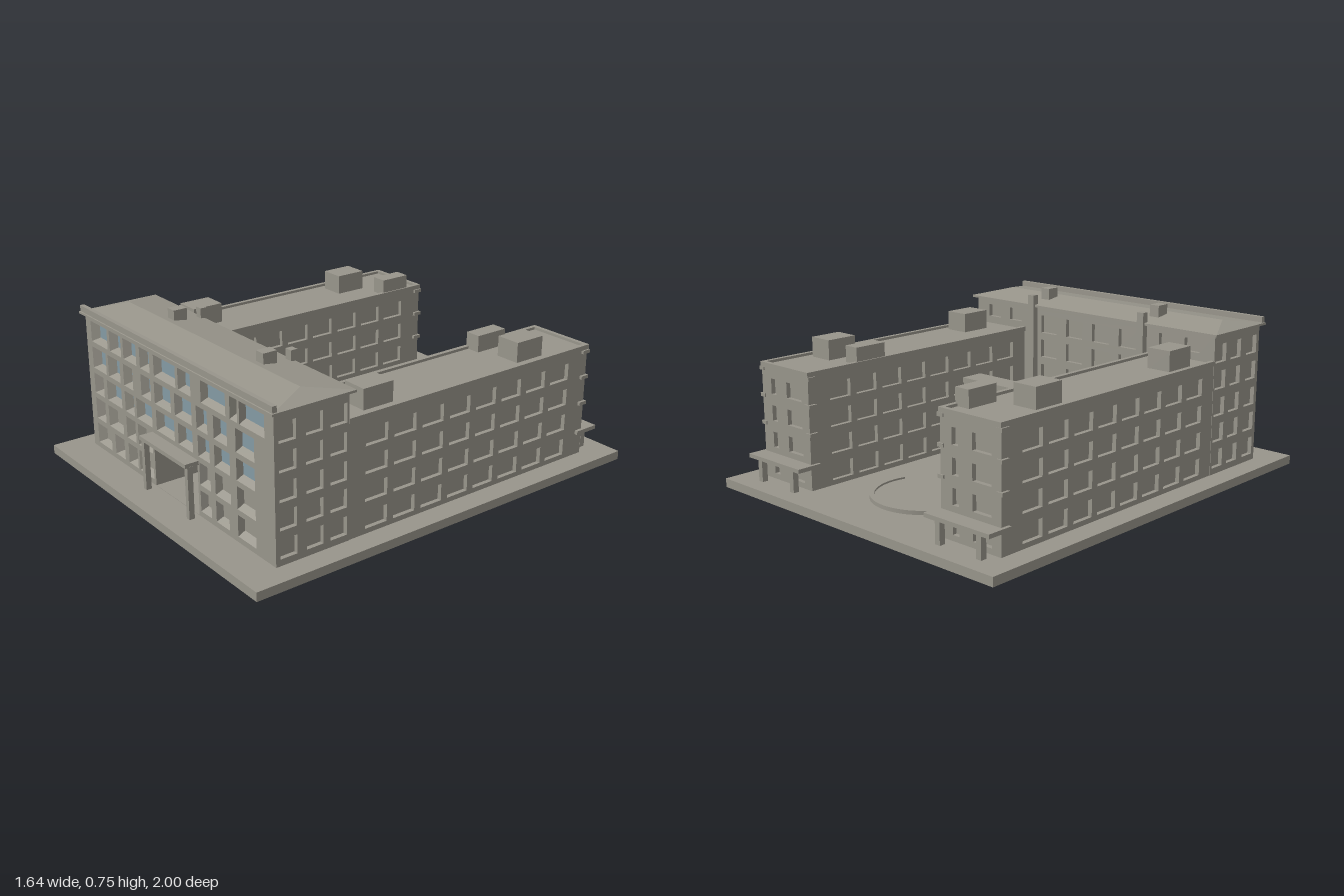
import * as THREE from 'three';
import { toCreasedNormals } from 'three/addons/utils/BufferGeometryUtils.js';

export function createModel() {
  const model = new THREE.Group();
  const concrete = new THREE.MeshStandardMaterial({ color: 0x98958b });
  concrete.name = 'concrete';
  const glass = new THREE.MeshStandardMaterial({ color: 0x849aa4 });
  glass.name = 'glass';

  const add = (name, geometry, material = concrete, parent = model) => {
    const mesh = new THREE.Mesh(geometry, material);
    mesh.name = name;
    parent.add(mesh);
    return mesh;
  };
  // Box given by its extents
  const box = (name, x0, x1, y0, y1, z0, z1) => {
    const g = new THREE.BoxGeometry(x1 - x0, y1 - y0, z1 - z0);
    g.translate((x0 + x1) / 2, (y0 + y1) / 2, (z0 + z1) / 2);
    return add(name, g);
  };
  // Flat-shaded geometry from quads, corners counter-clockwise
  const quads = (list) => {
    const pos = [];
    for (const [a, b, c, d] of list) pos.push(...a, ...b, ...c, ...a, ...c, ...d);
    const g = new THREE.BufferGeometry();
    g.setAttribute('position', new THREE.Float32BufferAttribute(pos, 3));
    g.computeVertexNormals();
    return g;
  };
  const corners = (u0, u1, v0, v1, z) => [[u0, v0, z], [u1, v0, z], [u1, v1, z], [u0, v1, z]];

  // Wall in local xy facing +z, with recessed windows
  const facade = (name, [u0, u1, v0, v1], holes, pos, rotY) => {
    const group = new THREE.Group();
    group.name = name;
    const shape = new THREE.Shape(corners(u0, u1, v0, v1, 0).map((p) => new THREE.Vector2(p[0], p[1])));
    const reveals = [], panes = [], glazed = [];
    for (const h of holes) {
      const outer = corners(h.u0, h.u1, h.v0, h.v1, 0);
      shape.holes.push(new THREE.Path(outer.map((p) => new THREE.Vector2(p[0], p[1])).reverse()));
      const [l, r, b, t] = h.inset || [0, 0, 0, 0];
      const inner = corners(h.u0 + l, h.u1 - r, h.v0 + b, h.v1 - t, -(h.depth ?? 0.02));
      if (h.depth !== 0) {
        for (let k = 0; k < 4; k++) {
          const n = (k + 1) % 4;
          reveals.push([outer[k], outer[n], inner[n], inner[k]]);
        }
      }
      if (!h.open) (h.glazed ? glazed : panes).push(inner);
    }
    add('wall', new THREE.ShapeGeometry(shape), concrete, group);
    if (reveals.length) add('windowReveals', quads(reveals), concrete, group);
    if (panes.length) add('windowPanes', quads(panes), concrete, group);
    if (glazed.length) add('windowGlass', quads(glazed), glass, group);
    group.position.set(...pos);
    group.rotation.y = rotY;
    model.add(group);
  };
  const grid = (us, w, vs, h) =>
    us.flatMap((u) => vs.map((v) => ({ u0: u - w / 2, u1: u + w / 2, v0: v - h / 2, v1: v + h / 2 })));

  // Ground slab
  box('groundSlab', -0.82, 0.82, 0, 0.04, -1, 1);

  // Front block: street facade, window spans per row
  const rows = [
    [0.555, 0.65, [-0.675, -0.53, -0.51, -0.41, -0.39, -0.28, -0.25, -0.17, -0.135, 0.035, 0.055, 0.15, 0.225, 0.4, 0.43, 0.48, 0.495, 0.66]],
    [0.43, 0.53, [-0.675, -0.555, -0.535, -0.43, -0.4, -0.32, -0.25, -0.17, -0.14, -0.01, 0.02, 0.15, 0.185, 0.265, 0.31, 0.405, 0.465, 0.59]],
    [0.31, 0.405, [-0.675, -0.59, -0.56, -0.43, -0.4, -0.32, -0.3, -0.17, -0.135, 0.01, 0.04, 0.15, 0.19, 0.275, 0.31, 0.42, 0.465, 0.59]],
    [0.185, 0.285, [-0.675, -0.59, -0.56, -0.43, -0.4, -0.32, -0.3, -0.18, 0.195, 0.275, 0.31, 0.42, 0.465, 0.59]],
    [0.065, 0.16, [-0.675, -0.55, -0.515, -0.43, -0.395, -0.315, -0.3, -0.18, 0.195, 0.275, 0.31, 0.405, 0.465, 0.59]],
  ];
  const street = [];
  rows.forEach(([v0, v1, spans], row) => {
    for (let i = 0; i < spans.length; i += 2) {
      const lean = (spans[i] + spans[i + 1]) / 2 * 0.022;
      street.push({
        u0: spans[i], u1: spans[i + 1], v0, v1, depth: 0.03, glazed: row < 3,
        inset: [0.015 - lean, 0.015 + lean, 0.018, 0.011],
      });
    }
  });
  const top = 0.68, px0 = -0.165, px1 = 0.18, pTop = 0.272;
  const portal = { u0: px0, u1: px1, v0: 0.042, v1: pTop, depth: 0.35, open: true };
  facade('streetFacade', [-0.72, 0.72, 0.04, top], [...street, portal], [0, 0, 0.84], 0);

  // Front block: courtyard facade and end walls
  const floors5 = [0.11, 0.23, 0.348, 0.47, 0.59];
  const yard = [
    ...grid([-0.24, -0.08, 0.08, 0.24], 0.1, floors5.slice(2), 0.085),
    ...grid([-0.25, 0.25], 0.09, floors5.slice(0, 2), 0.085),
    ...grid([-0.6, -0.46, 0.46, 0.6], 0.08, [0.615], 0.06),
    { u0: -px1, u1: -px0, v0: 0.042, v1: pTop, depth: 0, open: true },
  ];
  facade('courtyardFacade', [-0.72, 0.72, 0.04, top], yard, [0, 0, 0.49], Math.PI);
  for (const s of [1, -1]) {
    const ends = grid([0.78, 0.655, 0.54].map((z) => -s * z), 0.08, floors5, 0.082);
    const range = s > 0 ? [-0.84, -0.49, 0.04, top] : [0.49, 0.84, 0.04, top];
    facade('frontBlockEnd', range, ends, [s * 0.72, 0, 0], s * Math.PI / 2);
  }

  // Hipped roof, eaves and street parapet
  box('eaves', -0.74, 0.74, 0.672, 0.682, 0.47, 0.86);
  const e = corners(-0.74, 0.74, 0.86, 0.47, 0).map(([x, z]) => [x, 0.682, z]);
  const r0 = [-0.64, 0.71, 0.66], r1 = [0.64, 0.71, 0.66];
  add('hippedRoof', quads([
    [e[0], e[1], r1, r0], [e[2], e[3], r0, r1], [e[1], e[2], r1, r1], [e[3], e[0], r0, r0],
  ].map((q) => q)));
  box('streetParapet', -0.735, 0.735, 0.68, 0.71, 0.835, 0.855);
  for (const x of [-0.333, 0.333]) {
    box('chimney', x - 0.025, x + 0.025, 0.67, 0.75, 0.565, 0.63);
    box('wallFlue', x - 0.018, x + 0.018, 0.04, 0.73, 0.46, 0.492);
  }

  // Entrance portico
  box('porticoBeam', -0.175, 0.19, 0.272, 0.29, 0.84, 0.905);
  for (const x of [-0.165, 0.18]) box('porticoPost', x - 0.011, x + 0.011, 0.04, 0.275, 0.87, 0.895);

  // Side wings
  const floors4 = [0.1, 0.22, 0.34, 0.46];
  const bays = Array.from({ length: 8 }, (_, i) => 0.35 - i * 0.147);
  for (const s of [1, -1]) {
    const span = (f) => (f > 0 ? [-0.49, 0.85, 0.04, 0.55] : [-0.85, 0.49, 0.04, 0.55]);
    const mirrorBox = (name, x0, x1, ...rest) => box(name, Math.min(s * x0, s * x1), Math.max(s * x0, s * x1), ...rest);
    facade('wingOuterWall', span(s), grid(bays.map((z) => -s * z), 0.113, floors4, 0.076),
      [s * 0.718, 0, 0], s * Math.PI / 2);
    facade('wingInnerWall', span(-s), grid(bays.map((z) => s * z), 0.113, floors4, 0.076),
      [s * 0.4, 0, 0], -s * Math.PI / 2);
    const c = -s * 0.56;
    facade('wingEndWall', [c - 0.16, c + 0.16, 0.04, 0.55],
      [...grid([c - 0.08], 0.035, floors4, 0.07), ...grid([c + 0.06], 0.1, floors4, 0.07)],
      [0, 0, -0.85], Math.PI);

    // Flat roof with a low rim
    mirrorBox('wingRoof', 0.41, 0.71, 0.53, 0.55, -0.84, 0.49);
    mirrorBox('roofRimInner', 0.395, 0.415, 0.54, 0.562, -0.85, 0.49);
    mirrorBox('roofRimOuter', 0.703, 0.723, 0.54, 0.562, -0.85, 0.49);
    mirrorBox('roofRimEnd', 0.395, 0.723, 0.54, 0.562, -0.855, -0.835);

    // Corner ledges
    for (const y of [0.28, 0.405, 0.525]) {
      mirrorBox('cornerLedge', 0.7, 0.73, y, y + 0.016, -0.856, -0.815);
      mirrorBox('cornerLedge', 0.388, 0.42, y, y + 0.016, -0.856, -0.815);
    }

    // Rear door canopy
    mirrorBox('rearCanopy', 0.385, 0.733, 0.14, 0.158, -0.93, -0.81);
    for (const x of [0.45, 0.67]) mirrorBox('canopyPost', x - 0.013, x + 0.013, 0.04, 0.145, -0.92, -0.893);

    // Roof plant
    mirrorBox('roofPlantRear', 0.555, 0.67, 0.54, 0.64, -0.61, -0.46);
    mirrorBox('roofPlantFront', 0.555, 0.67, 0.54, 0.64, 0.23, 0.38);
  }
  box('stairHeadLeft', 0.402, 0.475, 0.54, 0.625, -0.58, -0.42);
  box('stairHeadRight', -0.475, -0.402, 0.54, 0.625, -0.77, -0.62);

  // Courtyard bridge between the wings
  box('bridgeFloor', -0.4, 0.4, 0.225, 0.275, 0.06, 0.175);
  box('bridgeRoof', -0.4, 0.4, 0.355, 0.38, 0.06, 0.175);
  box('bridgeCore', -0.4, 0.4, 0.27, 0.36, 0.08, 0.155);
  for (let i = 0; i < 8; i++) {
    const x = -0.385 + i * 0.11;
    box('bridgeMullion', x - 0.012, x + 0.012, 0.27, 0.36, 0.063, 0.172);
  }

  // Low terrace and step in the courtyard
  box('terrace', -0.39, 0.39, 0.035, 0.052, 0.305, 0.485);
  box('terraceStep', -0.375, 0.375, 0.035, 0.046, 0.23, 0.28);

  // Round basin with a curved bench
  const basin = new THREE.CylinderGeometry(0.228, 0.228, 0.012, 48);
  basin.translate(0, 0.044, -0.55);
  add('basin', basin);
  const profile = [[0.225, 0.04], [0.245, 0.04], [0.245, 0.058], [0.225, 0.058], [0.225, 0.04]];
  const arc = 107 * Math.PI / 180;
  const bench = new THREE.LatheGeometry(profile.map((p) => new THREE.Vector2(...p)), 40, Math.PI - arc, 2 * arc);
  bench.translate(0, 0, -0.55);
  add('curvedBench', toCreasedNormals(bench, 0.5));

  return model;
}
